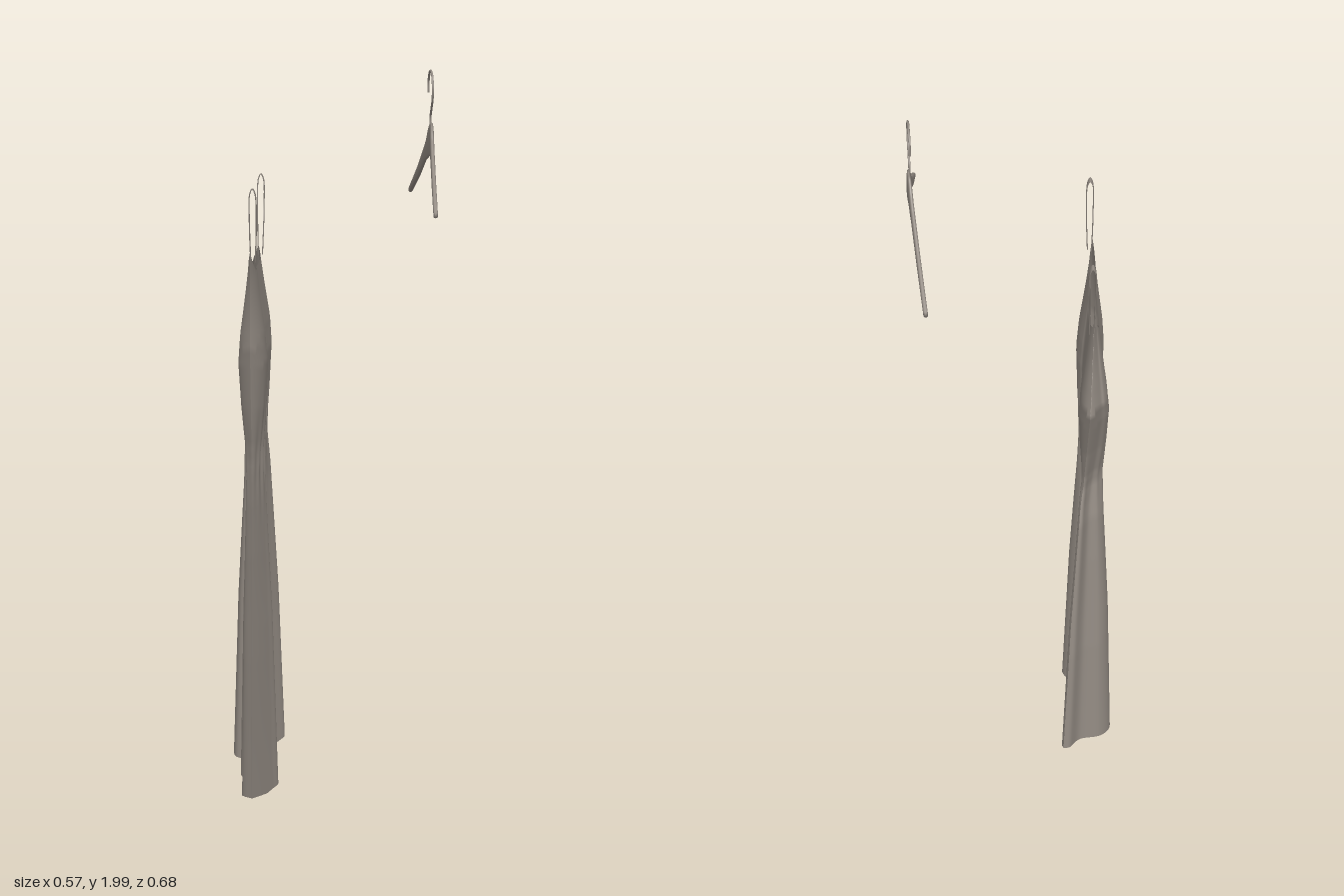
import * as THREE from 'three';
import { ParametricGeometry } from 'three/addons/geometries/ParametricGeometry.js';

const fabric = new THREE.MeshStandardMaterial({ color: 0x948c84, side: THREE.DoubleSide });
fabric.name = 'warm grey';

// linear lookup in a list of [key, value] pairs
function look(table, k) {
  if (k <= table[0][0]) return table[0][1];
  for (let i = 1; i < table.length; i++) {
    const [a, va] = table[i - 1], [b, vb] = table[i];
    if (k <= b) return va + (vb - va) * (k - a) / (b - a);
  }
  return table[table.length - 1][1];
}

function surface(name, fn, nu, nv) {
  const mesh = new THREE.Mesh(new ParametricGeometry(fn, nu, nv), fabric);
  mesh.name = name;
  return mesh;
}

const X0 = -0.21, WAIST = 0.97;
// side outlines of the dress: [y, z]
const leftEdge = [[0, 0.29], [0.4, 0.27], [0.7, 0.245], [0.85, 0.225], [0.95, 0.203], [1, 0.203],
  [1.1, 0.22], [1.27, 0.247], [1.4, 0.23], [1.53, 0.21]];
const rightEdge = [[0, -0.248], [0.4, -0.237], [0.7, -0.215], [0.85, -0.2], [0.95, -0.175], [1, -0.18],
  [1.1, -0.21], [1.28, -0.283], [1.35, -0.255], [1.5, -0.18]];
// how strongly the hem folds carry up, and how far the bodice bulges, by height
const foldAmount = [[0, 1], [0.5, 0.74], [0.9, 0.42], [0.97, 0.3], [1.1, 0.22], [1.3, 0.12], [1.5, 0.02]];
const bulge = [[0, 0], [0.9, 0.004], [0.97, 0.01], [1.1, 0.026], [1.22, 0.035], [1.3, 0.03], [1.4, 0.017],
  [1.47, 0.009], [1.53, 0.005]];

// each panel: hem folds as [z, x], hem height as [z, y]
const outerHem = [[-0.245, -0.145], [-0.22, -0.142], [-0.18, -0.168], [-0.14, -0.19], [-0.09, -0.185], [-0.03, -0.172],
  [0.02, -0.195], [0.065, -0.2], [0.085, -0.165], [0.12, -0.145], [0.165, -0.16], [0.23, -0.185], [0.29, -0.21]];
const outerHeight = [[-0.245, 0.04], [-0.18, 0.024], [-0.08, 0.032], [0, 0.065], [0.03, 0.03], [0.08, 0.01],
  [0.2, 0.008], [0.29, 0.025]];
const innerHem = [[-0.245, -0.145], [-0.24, -0.165], [-0.2, -0.195], [-0.182, -0.255], [-0.14, -0.285], [-0.085, -0.278],
  [-0.055, -0.235], [0, -0.25], [0.05, -0.255], [0.11, -0.225], [0.18, -0.235], [0.24, -0.24], [0.29, -0.21]];
const innerHeight = [[-0.245, 0.04], [-0.1, 0.018], [0, 0.01], [0.1, 0.006], [0.2, 0.008], [0.29, 0.025]];

function panel(name, hem, hemHeight, side, neckLow, neckPower) {
  const curve = new THREE.SplineCurve(hem.map(p => new THREE.Vector2(...p)));
  return surface(name, (u, v, out) => {
    const h = curve.getPoint(u);
    const s = THREE.MathUtils.clamp((h.x + 0.245) / 0.535, 0, 1);
    const c = Math.abs(2 * s - 1), q = c * c;
    const top = neckLow + ((s > 0.5 ? 1.53 : 1.5) - neckLow) * c ** neckPower;
    const low = look(hemHeight, h.x);
    const y = v < 0.55 ? low + (WAIST - low) * v / 0.55 : WAIST + (top - WAIST) * (v - 0.55) / 0.45;
    const z = THREE.MathUtils.lerp(look(rightEdge, y), look(leftEdge, y), s);
    // small gathers fading away from the waist
    const gather = 0.004 * Math.exp(-(((y - WAIST) / 0.12) ** 2)) * Math.sin(s * 60) * (1 - q);
    // bodice swells to both sides of a shallow hollow
    const swell = side * look(bulge, y) * (1 - q) * (0.6 + 2.4 * q);
    out.set(X0 + (h.y - X0) * look(foldAmount, y) + swell + gather, y, z);
  }, 88, 60);
}

// thin ribbon loop over the shoulder
function strap(name, zLow, zTop, yLow) {
  const zMid = (zLow + zTop) / 2;
  const path = new THREE.CatmullRomCurve3([
    [-0.197, yLow, zLow], [-0.193, 1.6, zMid - 0.002], [-0.195, 1.685, zTop],
    [-0.202, 1.698, zTop], [-0.209, 1.685, zTop], [-0.211, 1.6, zMid + 0.002], [-0.209, yLow, zLow],
  ].map(p => new THREE.Vector3(...p)));
  return surface(name, (u, v, out) => {
    const t = path.getTangent(u), a = v * Math.PI * 2;
    path.getPoint(u, out);
    out.x += t.y * 0.0015 * Math.sin(a);
    out.y -= t.x * 0.0015 * Math.sin(a);
    out.z += 0.014 * Math.cos(a);
  }, 40, 8);
}

export function createModel() {
  const model = new THREE.Group();

  const dress = new THREE.Group();
  dress.name = 'dress';
  dress.add(
    panel('highNeckPanel', outerHem, outerHeight, 1, 1.465, 4),
    panel('lowNeckPanel', innerHem, innerHeight, -1, 1.4, 1.2),
    strap('leftStrap', 0.199, 0.227, 1.5),
    strap('rightStrap', -0.172, -0.205, 1.475),
  );

  const hanger = new THREE.Group();
  hanger.name = 'hanger';
  // bent wooden bar, lofted from rounded sections with blunt ends
  const topLine = [[0, 1.857], [0.02, 1.853], [0.04, 1.835], [0.06, 1.812], [0.09, 1.79], [0.2, 1.724], [0.342, 1.65]];
  const lowLine = [[0, 1.767], [0.04, 1.762], [0.1, 1.745], [0.2, 1.693], [0.342, 1.634]];
  hanger.add(surface('hangerBar', (u, v, out) => {
    const along = (u - 0.5) * 0.7, a = v * Math.PI * 2;
    const z = THREE.MathUtils.clamp(along, -0.342, 0.342), d = Math.abs(z);
    const hi = look(topLine, d), lo = look(lowLine, d);
    const end = Math.abs(along) > 0.349 ? 0 : 1;
    const bend = 0.274 + (z < 0 ? z * 0.155 : z * 0.02);
    const cx = Math.cos(a), sy = Math.sin(a);
    out.set(bend + end * 0.006 * Math.sign(cx) * Math.abs(cx) ** 0.6,
      (hi + lo) / 2 + end * (hi - lo) / 2 * Math.sign(sy) * Math.abs(sy) ** 0.8, z);
  }, 80, 20));
  // wire hook
  const hookPath = new THREE.CatmullRomCurve3([
    [-0.055, 1.935], [-0.051, 1.967], [-0.031, 1.989], [0, 1.997], [0.034, 1.984], [0.051, 1.952],
    [0.045, 1.922], [0.022, 1.897], [0.002, 1.875], [0, 1.845],
  ].map(([z, y]) => new THREE.Vector3(0.271 + z * 0.1, y, z)));
  const hook = new THREE.Mesh(new THREE.TubeGeometry(hookPath, 60, 0.003, 8), fabric);
  hook.name = 'hangerHook';
  hanger.add(hook);

  model.add(dress, hanger);
  return model;
}
